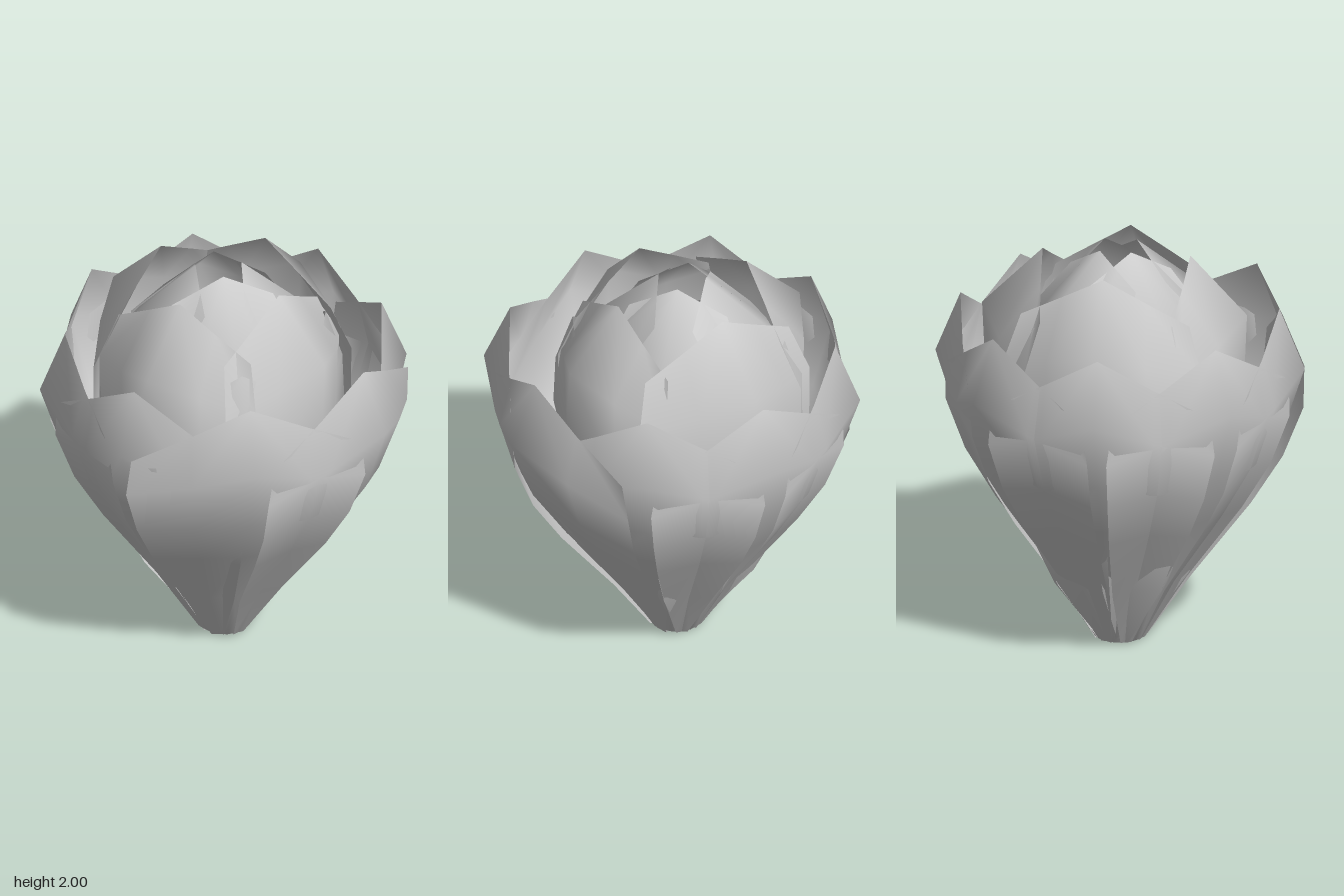
import * as THREE from 'three';

const material = new THREE.MeshStandardMaterial({ color: 0xcccccc, side: THREE.DoubleSide });

// A petal facing +z. Each row is [radius, height, half width, fold depth];
// drop lowers the side corners so that the petal ends in a point.
function petalGeometry(rows, drop) {
  const positions = [], index = [];
  const columns = 5;
  const top = rows[rows.length - 1][1];
  rows.forEach(([radius, height, width, fold], i) => {
    for (let c = 0; c < columns; c++) {
      const s = c / 2 - 1, a = Math.abs(s);
      positions.push(
        s * width,
        height - drop * a * (height / top) ** 2,
        radius - fold * (0.7 * a + 0.3 * a * a)
      );
    }
    if (i === 0) return;
    for (let c = 0; c < columns - 1; c++) {
      const p = (i - 1) * columns + c, q = p + columns;
      // mirror the diagonals about the middle rib
      if (c < 2) index.push(p, p + 1, q + 1, p, q + 1, q);
      else index.push(p, p + 1, q, p + 1, q + 1, q);
    }
  });
  const geometry = new THREE.BufferGeometry();
  geometry.setAttribute('position', new THREE.Float32BufferAttribute(positions, 3));
  geometry.setIndex(index);
  geometry.computeVertexNormals();
  return geometry;
}

// A ring of petals about a stem at (-0.01, z). foot is the radius at the base,
// from which a small floor runs in to the stem. spread(i) scales each petal outward.
function petalRing({ name, count, turn, wobble, z, foot, drop, rows, spread }) {
  const base = [[0.01, 0, 0.02, 0], [foot, 0.01, foot * 0.6, 0.015]];
  const geometry = petalGeometry([...base, ...rows], drop);
  const ring = new THREE.Group();
  ring.name = name + 'Ring';
  ring.position.set(-0.01, 0, z);
  for (let i = 0; i < count; i++) {
    const petal = new THREE.Mesh(geometry, material);
    petal.name = name;
    petal.rotation.y = turn + (i / count) * Math.PI * 2 + wobble * Math.sin(i * 2.4);
    petal.scale.x = petal.scale.z = spread(i);
    ring.add(petal);
  }
  return ring;
}

// Slight alternation for the inner rings
const alternate = (i) => (i % 2 ? 1.02 : 0.99);

export function createModel() {
  const bud = new THREE.Group();
  bud.name = 'flowerBud';

  // Wide outer petals, the front and front right ones opened further
  bud.add(petalRing({
    name: 'outerPetal', count: 8, turn: 0.03, wobble: 0.02, z: -0.03, foot: 0.12, drop: 0.31,
    spread: (i) => (i === 0 || i === 7 ? 1.06 : 1),
    rows: [
      [0.3, 0.34, 0.22, 0.06], [0.59, 0.76, 0.39, 0.15], [0.77, 1.06, 0.48, 0.22],
      [0.88, 1.4, 0.54, 0.26], [0.76, 1.7, 0.52, 0.12],
    ],
  }));

  // Short petals filling the diagonals
  bud.add(petalRing({
    name: 'diagonalPetal', count: 4, turn: 0.78, wobble: 0.06, z: -0.04, foot: 0.1, drop: 0.2,
    spread: alternate,
    rows: [
      [0.27, 0.36, 0.24, 0.03], [0.5, 0.8, 0.38, 0.13], [0.59, 1.2, 0.4, 0.2],
      [0.58, 1.45, 0.38, 0.2], [0.5, 1.7, 0.26, 0.1],
    ],
  }));

  // Tall petals leaning inward, the front one closest
  bud.add(petalRing({
    name: 'middlePetal', count: 4, turn: 0, wobble: 0.04, z: -0.045, foot: 0.1, drop: 0.22,
    spread: (i) => (i === 1 || i === 2 ? 1.07 : 1),
    rows: [
      [0.27, 0.36, 0.24, 0.03], [0.49, 0.8, 0.38, 0.13], [0.59, 1.2, 0.44, 0.22],
      [0.61, 1.67, 0.45, 0.25], [0.34, 1.96, 0.38, 0.04],
    ],
  }));

  // Petals closing over the middle
  bud.add(petalRing({
    name: 'innerPetal', count: 4, turn: 0.8, wobble: 0.06, z: -0.06, foot: 0.08, drop: 0.14,
    spread: alternate,
    rows: [
      [0.2, 0.4, 0.18, 0.05], [0.36, 0.85, 0.28, 0.13], [0.44, 1.3, 0.34, 0.18],
      [0.44, 1.72, 0.36, 0.18], [0.11, 2.0, 0.24, 0.02],
    ],
  }));

  // Small heart of the bud
  bud.add(petalRing({
    name: 'heartPetal', count: 4, turn: 0.1, wobble: 0.1, z: -0.06, foot: 0.05, drop: 0.12,
    spread: alternate,
    rows: [[0.15, 0.5, 0.12, 0.05], [0.26, 1.0, 0.2, 0.1], [0.3, 1.5, 0.25, 0.13], [0.16, 1.8, 0.2, 0.05]],
  }));

  return bud;
}
